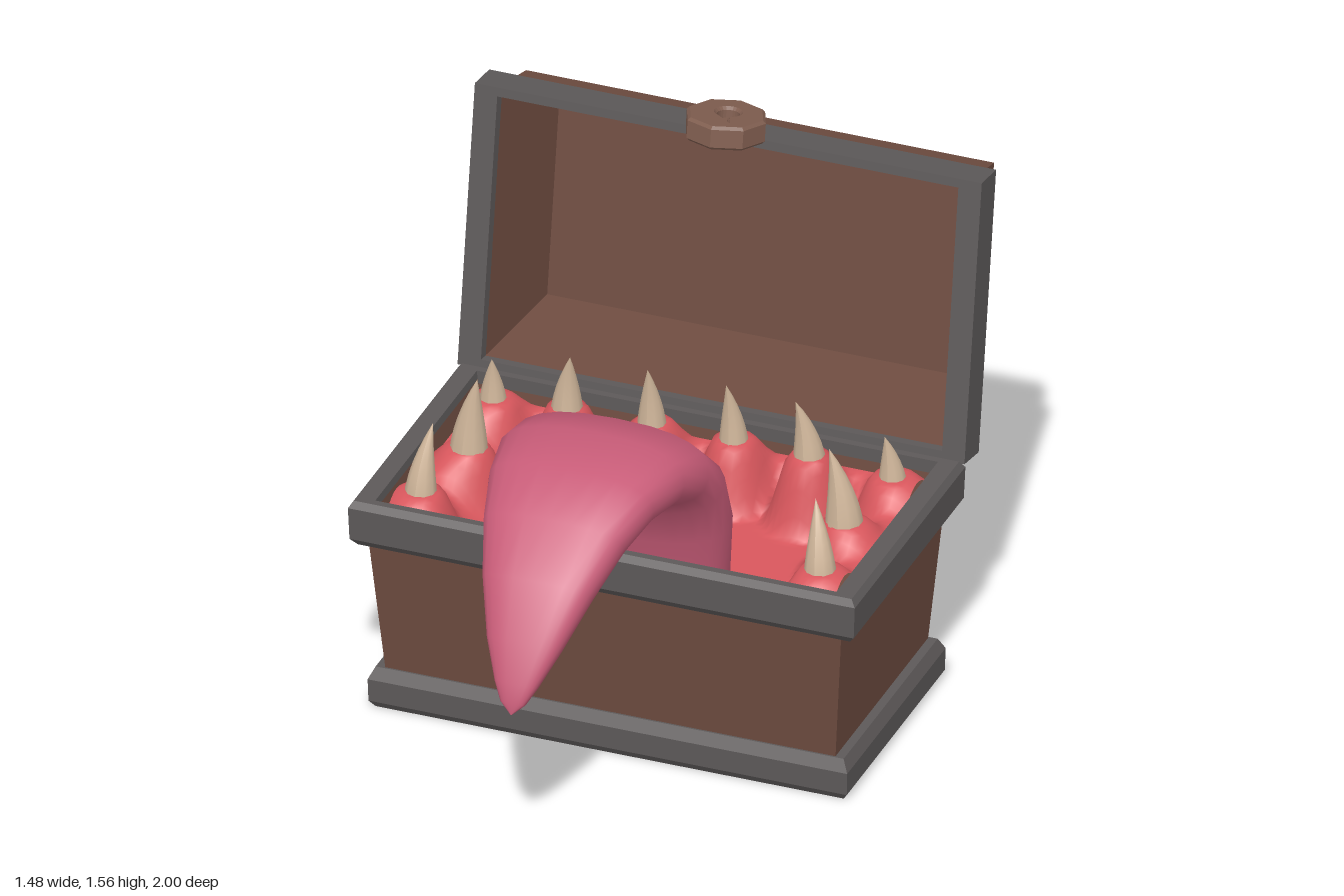
import * as THREE from 'three';

const mat = (name, color, side = THREE.FrontSide) => {
  const m = new THREE.MeshStandardMaterial({ color, side });
  m.name = name;
  return m;
};

// Flat-sided loft through rectangular rings [halfX, halfZ, y]
function rectLoft(levels) {
  const corners = [[-1, 1], [1, 1], [1, -1], [-1, -1]];
  const at = ([hx, hz, y], i) => [corners[i % 4][0] * hx, y, corners[i % 4][1] * hz];
  const pos = [];
  for (let l = 0; l < levels.length - 1; l++) {
    for (let i = 0; i < 4; i++) {
      const a = at(levels[l], i), b = at(levels[l], i + 1);
      const c = at(levels[l + 1], i + 1), d = at(levels[l + 1], i);
      if (levels[l][0] > 0) pos.push(...a, ...b, ...c);
      if (levels[l + 1][0] > 0) pos.push(...a, ...c, ...d);
    }
  }
  const g = new THREE.BufferGeometry();
  g.setAttribute('position', new THREE.Float32BufferAttribute(pos, 3));
  g.computeVertexNormals();
  return g;
}

// Smooth tongue: rounded sections [z, y, halfWidth, halfThickness] along an arc
function tongueGeometry() {
  const st = [
    [0.05, 0.45, 0.26, 0.11], [0.09, 0.68, 0.285, 0.115], [0.17, 0.84, 0.295, 0.113],
    [0.265, 0.925, 0.29, 0.112], [0.40, 0.97, 0.272, 0.105], [0.55, 0.967, 0.242, 0.094],
    [0.68, 0.912, 0.205, 0.082], [0.80, 0.81, 0.16, 0.066], [0.90, 0.685, 0.108, 0.046],
    [0.96, 0.59, 0.062, 0.028], [0.985, 0.545, 0.036, 0.016], [0.998, 0.515, 0.002, 0.002],
  ];
  const N = 24, pos = [], idx = [];
  const pw = (v) => Math.sign(v) * Math.abs(v) ** 0.8;
  st.forEach(([z, y, w, t], s) => {
    const p = st[Math.max(0, s - 1)], q = st[Math.min(st.length - 1, s + 1)];
    const len = Math.hypot(q[0] - p[0], q[1] - p[1]);
    const tz = (q[0] - p[0]) / len, ty = (q[1] - p[1]) / len;
    for (let i = 0; i < N; i++) {
      const a = (i / N) * Math.PI * 2, h = pw(Math.sin(a)) * t;
      pos.push(pw(Math.cos(a)) * w, y + h * tz, z - h * ty);
      if (s < st.length - 1) {
        const j = (i + 1) % N, r = s * N;
        idx.push(r + i, r + j, r + N + j, r + i, r + N + j, r + N + i);
      }
    }
  });
  const g = new THREE.BufferGeometry();
  g.setAttribute('position', new THREE.Float32BufferAttribute(pos, 3));
  g.setIndex(idx);
  g.computeVertexNormals();
  return g;
}

// Curved fang: a bulging cone whose tip leans by (dx, dz)
function fangGeometry(r, h, dx, dz) {
  const g = new THREE.ConeGeometry(r, h, 10, 6, true).translate(0, h / 2, 0);
  const p = g.attributes.position;
  for (let i = 0; i < p.count; i++) {
    const t = THREE.MathUtils.clamp(p.getY(i) / h, 0, 1);
    const k = t < 0.999 ? (1 - t ** 1.5) / (1 - t) : 1;
    p.setX(i, p.getX(i) * k + dx * t * t);
    p.setZ(i, p.getZ(i) * k + dz * t * t);
  }
  g.computeVertexNormals();
  return g;
}

// Fangs on the +x side: x, z, gum height, tip height, radius, lean x, lean z
const FANGS = [
  [0.585, 0.185, 0.66, 0.86, 0.046, -0.025, -0.03],
  [0.55, -0.085, 0.66, 0.89, 0.054, -0.035, 0.025],
  [0.585, -0.355, 0.66, 0.80, 0.04, -0.01, 0.035],
  [0.355, -0.32, 0.70, 0.88, 0.046, -0.025, 0.04],
  [0.12, -0.355, 0.68, 0.87, 0.042, -0.005, 0.045],
];

// Gum sheet: a basin with a mound under each fang
function gumGeometry() {
  const g = new THREE.PlaneGeometry(1.31, 0.73, 64, 38).rotateX(-Math.PI / 2).translate(0, 0, -0.085);
  const p = g.attributes.position;
  for (let i = 0; i < p.count; i++) {
    const x = p.getX(i), z = p.getZ(i);
    const e = Math.max(Math.abs(x) / 0.655, Math.abs(z + 0.085) / 0.365);
    const base = 0.49 + 0.11 * THREE.MathUtils.smoothstep(e, 0.65, 0.95);
    let y = base;
    for (const [fx, fz, top] of FANGS) {
      const d = Math.hypot(Math.abs(x) - fx, z - fz);
      y = Math.max(y, base + (top - base) * (1 - THREE.MathUtils.smoothstep(d, 0.05, 0.13)));
    }
    p.setY(i, y);
  }
  g.computeVertexNormals();
  return g;
}

// Octagonal lock plate with a keyhole
function lockGeometry() {
  const s = new THREE.Shape();
  for (let i = 0; i < 8; i++) {
    const a = (i / 8) * Math.PI * 2;
    s[i ? 'lineTo' : 'moveTo'](Math.cos(a) * 0.107, Math.sin(a) * 0.107);
  }
  const hole = new THREE.Path();
  hole.moveTo(-0.032, -0.062);
  hole.absarc(0, 0.015, 0.04, Math.PI * 1.35, -Math.PI * 0.35, true);
  hole.lineTo(0.032, -0.062);
  s.holes.push(hole);
  return new THREE.ExtrudeGeometry(s, {
    depth: 0.052, bevelThickness: 0.008, bevelSize: 0.008, bevelSegments: 1, curveSegments: 10,
  });
}

export function createModel() {
  const wood = mat('brown wood', 0x6e4c40);
  const trim = mat('grey trim', 0x5d5959);
  const bronze = mat('lock bronze', 0x7f5d4f);
  const flesh = mat('red gum', 0xd9575d, THREE.DoubleSide);
  const pink = mat('pink tongue', 0xc85c78);
  const ivory = mat('ivory tooth', 0xd3b99d);

  const model = new THREE.Group();
  model.name = 'chestMonster';
  const add = (parent, name, geo, material) => {
    const m = new THREE.Mesh(geo, material);
    m.name = name;
    parent.add(m);
    return m;
  };

  // Box
  const box = new THREE.Group();
  box.name = 'box';
  box.position.z = -0.085;
  model.add(box);
  add(box, 'bottomPanel', rectLoft([[0, 0, 0], [0.685, 0.35, 0]]), wood);
  add(box, 'baseTrim', rectLoft([[0.685, 0.35, 0], [0.7, 0.365, 0.022], [0.702, 0.367, 0.09],
    [0.685, 0.35, 0.125], [0.65, 0.33, 0.125]]), trim);
  add(box, 'walls', rectLoft([[0.658, 0.343, 0.11], [0.692, 0.385, 0.54]]), wood);
  add(box, 'rimTrim', rectLoft([[0.68, 0.375, 0.525], [0.72, 0.392, 0.525], [0.738, 0.41, 0.548],
    [0.742, 0.412, 0.645], [0.728, 0.4, 0.665], [0.675, 0.378, 0.665], [0.67, 0.376, 0.62]]), trim);
  add(box, 'innerWalls', rectLoft([[0.672, 0.378, 0.64], [0.64, 0.35, 0.42], [0, 0, 0.42]]), wood);

  // Open lid: local y points out of its back, local z up along it
  const lid = new THREE.Group();
  lid.name = 'lid';
  lid.position.set(0, 1.065, -0.554);
  lid.rotation.x = -1.728;
  model.add(lid);
  add(lid, 'lidTrim', rectLoft([[0.672, 0.383, 0.05], [0.675, 0.387, 0], [0.742, 0.413, 0],
    [0.742, 0.415, 0.108], [0.722, 0.4, 0.135], [0.67, 0.37, 0.135]]), trim);
  add(lid, 'lidShell', rectLoft([[0.69, 0.387, 0.12], [0.685, 0.376, 0.245], [0.64, 0.318, 0.35],
    [0.47, 0.148, 0.425], [0, 0, 0.425]]), wood);
  add(lid, 'lidLining', rectLoft([[0, 0, 0.345], [0.62, 0.305, 0.345], [0.675, 0.387, 0.02]]), wood);

  // Lock
  const lock = new THREE.Group();
  lock.name = 'lock';
  lock.position.set(0, -0.024, 0.42);
  lid.add(lock);
  add(lock, 'lockPlate', lockGeometry(), bronze);
  const back = add(lock, 'keyholeBack', new THREE.BoxGeometry(0.1, 0.14, 0.008), bronze);
  back.position.z = 0.025;

  // Mouth
  add(model, 'gums', gumGeometry(), flesh);
  add(model, 'tongue', tongueGeometry(), pink);
  for (const [x, z, gum, tip, r, dx, dz] of FANGS) {
    for (const side of [1, -1]) {
      const f = add(model, 'tooth', fangGeometry(r, tip - gum + 0.03, dx * side, dz), ivory);
      f.position.set(x * side, gum - 0.03, z);
    }
  }
  return model;
}
